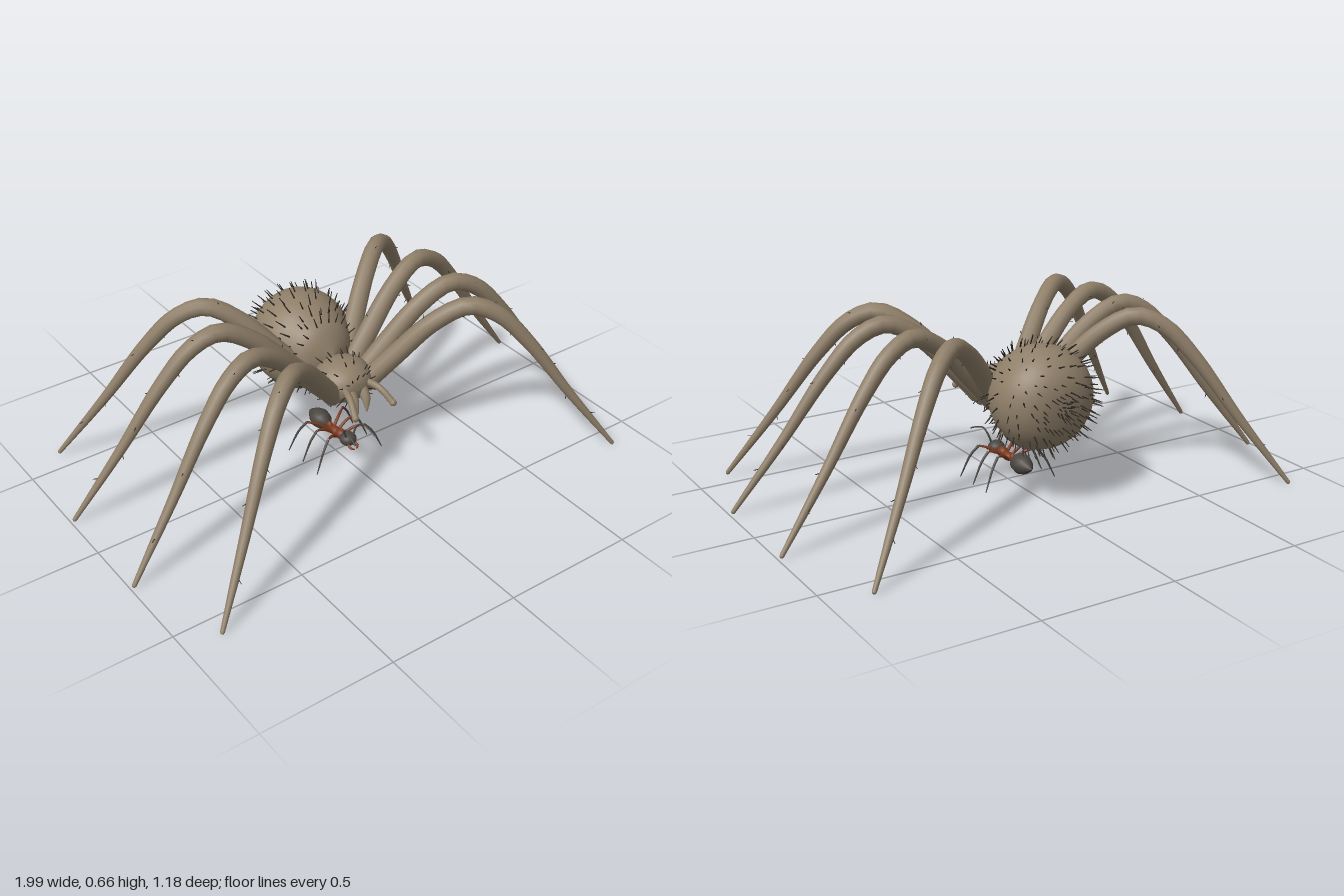
import * as THREE from 'three';
import { mergeGeometries } from 'three/addons/utils/BufferGeometryUtils.js';

const V = (x, y, z) => new THREE.Vector3(x, y, z);
const material = (name, color, side = THREE.FrontSide) => {
  const m = new THREE.MeshStandardMaterial({ color, side });
  m.name = name;
  return m;
};

// Small seeded generator, returns values in -0.5..0.5
let seed = 7;
const jitter = () => {
  seed = (seed * 16807) % 2147483647;
  return seed / 2147483647 - 0.5;
};

const add = (parent, name, geometry, mat) => {
  const mesh = new THREE.Mesh(geometry, mat);
  mesh.name = name;
  parent.add(mesh);
  return mesh;
};

// Tube through points whose radius follows radii (evenly spaced along the path)
function taperedTube(points, radii, segments = 24, sides = 10) {
  const curve = new THREE.CatmullRomCurve3(points);
  const geo = new THREE.TubeGeometry(curve, segments, 1, sides);
  const pos = geo.attributes.position;
  const p = V(0, 0, 0);
  for (let i = 0; i <= segments; i++) {
    const f = (i / segments) * (radii.length - 1);
    const k = Math.min(Math.floor(f), radii.length - 2);
    const r = THREE.MathUtils.lerp(radii[k], radii[k + 1], f - k);
    const c = curve.getPointAt(i / segments);
    for (let j = 0; j <= sides; j++) {
      const n = i * (sides + 1) + j;
      p.fromBufferAttribute(pos, n).sub(c).multiplyScalar(r).add(c);
      pos.setXYZ(n, p.x, p.y, p.z);
    }
  }
  geo.computeBoundingSphere();
  return geo;
}

// One bristle rooted at p and pointing along dir
function bristle(p, dir, length, radius = 0.0035) {
  const geo = new THREE.CylinderGeometry(radius * 0.4, radius, length, 4);
  geo.translate(0, length / 2 - 0.006, 0);
  geo.applyQuaternion(new THREE.Quaternion().setFromUnitVectors(V(0, 1, 0), dir.clone().normalize()));
  return geo.translate(p.x, p.y, p.z);
}

// Point on a body of revolution about z; phi = 0 is the underside
const onBody = (curve, t, phi, lift = 0) => {
  const q = curve.getPoint(t);
  return V((q.x + lift) * Math.sin(phi), -(q.x + lift) * Math.cos(phi), q.y);
};

// Body of revolution about z, with rows of swept-back bristles
function hairyBody(name, profile, skin, hair, rings, around, length) {
  const group = new THREE.Group();
  group.name = name;
  const curve = new THREE.SplineCurve(profile.map(([r, z]) => new THREE.Vector2(r, z)));
  const pts = curve.getPoints(28).map(q => new THREE.Vector2(Math.max(q.x, 0), q.y));
  add(group, name + 'Shell', new THREE.LatheGeometry(pts, 32).rotateX(Math.PI / 2), skin);
  const hairs = [];
  for (let i = 0; i < rings; i++) {
    for (let j = 0; j < around; j++) {
      const t = 0.08 + 0.78 * (i + 0.5 + jitter() * 0.7) / rings;
      const phi = (j + (i % 2) / 2 + jitter() * 0.4) / around * Math.PI * 2;
      const g = curve.getTangent(t);
      const dir = V(g.y * Math.sin(phi), -g.y * Math.cos(phi), -g.x - 0.7);
      hairs.push(bristle(onBody(curve, t, phi), dir, length * (1 + jitter() * 0.6)));
    }
  }
  add(group, name + 'Bristles', mergeGeometries(hairs), hair);
  group.userData.curve = curve;
  return group;
}

function createSpider(skin, hair, grey) {
  const spider = new THREE.Group();
  spider.name = 'spider';

  // Abdomen, tilted a little backwards
  const abdomen = hairyBody('abdomen', [[0, -0.155], [0.075, -0.148], [0.135, -0.12], [0.176, -0.065],
    [0.187, 0], [0.172, 0.07], [0.135, 0.13], [0.09, 0.18], [0, 0.215]], skin, hair, 9, 24, 0.04);
  abdomen.position.set(0, 0.387, -0.22);
  abdomen.rotation.x = -0.13;
  spider.add(abdomen);

  // Pair of dark oval plates on the belly
  for (const s of [1, -1]) {
    const geo = new THREE.RingGeometry(0.001, 1, 24, 4);
    const pos = geo.attributes.position;
    for (let i = 0; i < pos.count; i++) {
      const p = onBody(abdomen.userData.curve, 0.5 + 0.12 * pos.getY(i), s * 0.42 + 0.32 * pos.getX(i), 0.004);
      pos.setXYZ(i, p.x, p.y, p.z);
    }
    geo.computeVertexNormals();
    add(abdomen, 'bellyPlate', geo, grey);
  }

  // Bristle tuft at the rear
  const tuft = [];
  for (let i = 0; i < 16; i++) {
    const a = i * 2.4, r = 0.008 * Math.sqrt(i);
    tuft.push(bristle(V(r * Math.cos(a), 0.38 + r * Math.sin(a), -0.37), V(Math.cos(a) * 0.4, Math.sin(a) * 0.4, -1), 0.045));
  }
  add(spider, 'rearTuft', mergeGeometries(tuft), hair);

  // Head and thorax
  const head = hairyBody('headThorax', [[0, -0.1], [0.06, -0.085], [0.1, -0.04], [0.108, 0.01],
    [0.088, 0.06], [0.05, 0.092], [0, 0.1]], skin, hair, 5, 16, 0.035);
  head.position.set(0, 0.35, 0.045);
  head.scale.y = 0.75;
  spider.add(head);

  // Foot x, foot z, base z; every leg shares one arched profile of [t, y]
  const arch = [[0, 0.32], [0.12, 0.44], [0.26, 0.57], [0.39, 0.632], [0.5, 0.595], [0.62, 0.48], [0.8, 0.25], [1, 0.008]];
  const legs = [[0.865, 0.582, 0.08], [0.985, 0.225, 0.04], [0.985, -0.197, -0.02], [0.845, -0.585, -0.05]];
  for (const s of [1, -1]) {
    const side = s > 0 ? 'left' : 'right';
    legs.forEach(([fx, fz, bz], i) => {
      const pts = arch.map(([t, y]) => V(s * (0.07 + t * (fx - 0.07)), y, bz + t * (fz - bz)));
      add(spider, `${side}Leg${i + 1}`, taperedTube(pts, [0.038, 0.037, 0.034, 0.033, 0.029, 0.024, 0.019, 0.014, 0.008], 32), skin);
      add(spider, `${side}Foot${i + 1}`, new THREE.SphereGeometry(0.008, 8, 6), skin).position.copy(pts[7]);
      const curve = new THREE.CatmullRomCurve3(pts);
      const hairs = [];
      for (let k = 0; k < 9; k++) {
        const t = 0.15 + k * 0.09, a = k * 2.4 + i;
        const out = V(Math.cos(a), Math.sin(a), Math.sin(a * 1.7));
        const g = curve.getTangentAt(t);
        out.addScaledVector(g, -out.dot(g)).normalize();
        const r = THREE.MathUtils.lerp(0.036, 0.008, t);
        hairs.push(bristle(curve.getPointAt(t).addScaledVector(out, r * 0.9), out.addScaledVector(g, 0.9), 0.026, 0.0025));
      }
      add(spider, `${side}LegBristles${i + 1}`, mergeGeometries(hairs), hair);
    });

    // Feelers and fangs
    add(spider, side + 'Feeler', taperedTube([V(s * 0.045, 0.36, 0.11), V(s * 0.065, 0.355, 0.18), V(s * 0.083, 0.315, 0.235)],
      [0.014, 0.012, 0.012], 10), skin);
    add(spider, side + 'FeelerTip', new THREE.SphereGeometry(0.0135, 10, 8), skin).position.set(s * 0.083, 0.315, 0.235);
    add(spider, side + 'Fang', taperedTube([V(s * 0.025, 0.35, 0.12), V(s * 0.025, 0.31, 0.152), V(s * 0.02, 0.262, 0.165)],
      [0.022, 0.017, 0.003], 10), skin);
  }
  return spider;
}

function createAnt(grey, red) {
  const ant = new THREE.Group();
  ant.name = 'ant';
  const ball = (name, mat, y, z, rx, ry, rz) => {
    const m = add(ant, name, new THREE.SphereGeometry(1, 18, 12), mat);
    m.position.set(0, y, z);
    m.scale.set(rx, ry, rz);
  };
  // Gaster with a pointed rear
  const gaster = [[0, -0.165], [0.014, -0.15], [0.03, -0.125], [0.038, -0.1], [0.033, -0.07], [0.018, -0.05], [0, -0.043]];
  add(ant, 'antGaster', new THREE.LatheGeometry(gaster.map(([r, z]) => new THREE.Vector2(r, z)), 18).rotateX(Math.PI / 2), grey)
    .position.y = 0.09;
  ball('antWaist', red, 0.092, -0.035, 0.012, 0.018, 0.014);
  ball('antMidBody', red, 0.09, 0, 0.018, 0.017, 0.03);
  ball('antChest', red, 0.095, 0.035, 0.019, 0.02, 0.024);
  ball('antHead', grey, 0.1, 0.08, 0.032, 0.025, 0.032);
  for (const s of [1, -1]) {
    add(ant, 'antJaw', taperedTube([V(s * 0.014, 0.092, 0.1), V(s * 0.016, 0.085, 0.118), V(s * 0.003, 0.08, 0.128)],
      [0.007, 0.005, 0.002], 6, 6), red);
    add(ant, 'antAntenna', taperedTube([V(s * 0.015, 0.115, 0.09), V(s * 0.028, 0.15, 0.093), V(s * 0.035, 0.171, 0.115),
      V(s * 0.042, 0.165, 0.15), V(s * 0.046, 0.15, 0.187)], [0.004, 0.003, 0.003], 16, 6), grey);
    // Hip, knee and foot z of each leg
    for (const [h, k, f] of [[0.03, 0.07, 0.092], [0, 0, 0], [-0.025, -0.065, -0.09]]) {
      const knee = V(s * 0.082, 0.124, k);
      add(ant, 'antThigh', taperedTube([V(s * 0.01, 0.085, h), V(s * 0.05, 0.115, (h + k) / 2), knee], [0.006, 0.006, 0.004], 8, 6), red);
      add(ant, 'antShin', taperedTube([knee, V(s * 0.11, 0.09, (k + f) / 2), V(s * 0.148, 0.008, f)], [0.005, 0.004, 0.002], 8, 6), grey);
    }
  }
  return ant;
}

export function createModel() {
  seed = 7;
  const skin = material('spiderBrown', 0x8f7f69);
  const hair = material('bristleDark', 0x2b2620);
  const grey = material('darkGrey', 0x4a4641, THREE.DoubleSide);
  const red = material('antRed', 0x7d3a20);
  const model = new THREE.Group();
  model.name = 'spiderAndAnt';
  model.add(createSpider(skin, hair, grey), createAnt(grey, red));
  return model;
}
